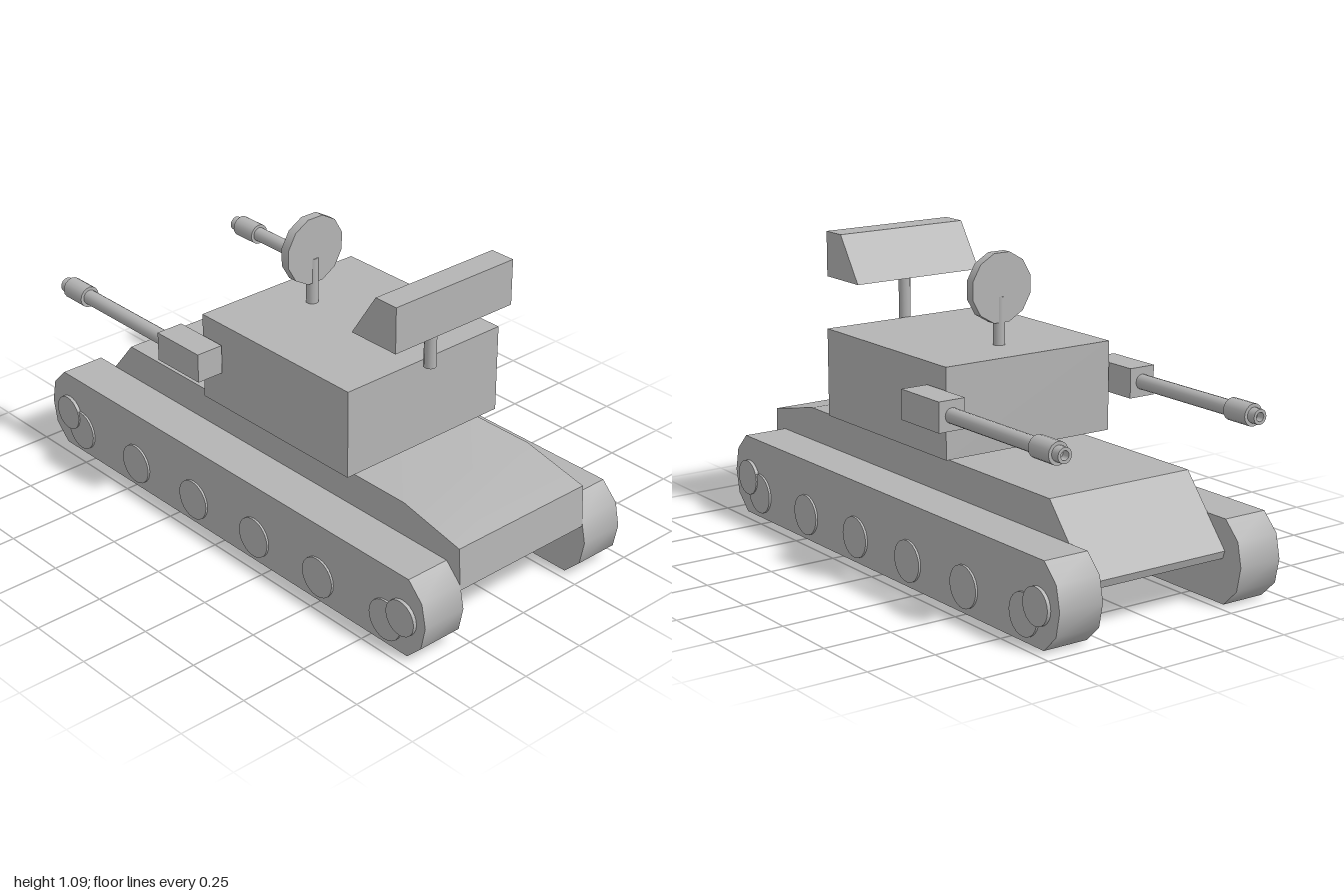
import * as THREE from 'three';
import { toCreasedNormals } from 'three/addons/utils/BufferGeometryUtils.js';

export function createModel() {
  const model = new THREE.Group();
  model.name = 'trackedVehicle';
  const grey = new THREE.MeshStandardMaterial({ color: 0xb4b4b4 });
  grey.name = 'plain grey';

  const add = (name, geometry, x = 0, y = 0, z = 0, parent = model) => {
    const mesh = new THREE.Mesh(geometry, grey);
    mesh.name = name;
    mesh.position.set(x, y, z);
    parent.add(mesh);
    return mesh;
  };

  // Side profile given as [z, y] points, extruded across x and centred on x = 0
  const sideProfile = (points, width) => {
    const shape = new THREE.Shape(points.map(([z, y]) => new THREE.Vector2(z, y)));
    const geometry = new THREE.ExtrudeGeometry(shape, { depth: width, bevelEnabled: false });
    geometry.rotateY(-Math.PI / 2).translate(width / 2, 0, 0);
    return toCreasedNormals(geometry, 0.7);
  };
  const cylinderX = (r, length, sides) =>
    new THREE.CylinderGeometry(r, r, length, sides).rotateZ(Math.PI / 2);
  const cylinderZ = (r, length, sides) =>
    new THREE.CylinderGeometry(r, r, length, sides).rotateX(Math.PI / 2);

  // Hull with sloped front deck, rear plate and tilted belly
  add('hull', sideProfile([
    [0.985, 0.21], [0.975, 0.363], [0.72, 0.418], [-0.725, 0.418], [-0.92, 0.185], [-0.91, 0.157],
  ].reverse(), 0.578));

  // Turret body
  add('turret', new THREE.BoxGeometry(0.69, 0.32, 0.74), 0, 0.6, 0.14);

  // Track outline: front end mirrored to the rear
  const end = [[0.92, 0], [0.982, 0.06], [1, 0.147], [0.982, 0.232], [0.92, 0.295]];
  const outline = [...end, ...end.map(([z, y]) => [-z, y]).reverse()];

  for (const side of [1, -1]) {
    const label = side > 0 ? 'left' : 'right';

    // Track and its wheels
    add(label + 'Track', sideProfile(outline, 0.17), side * 0.372);
    for (let i = 0; i < 6; i++) {
      add(label + 'RoadWheel', cylinderX(0.074, 0.03, 24), side * 0.45, 0.093, 0.82 - i * 0.328);
    }
    for (const z of [0.895, -0.89]) {
      add(label + 'EndWheel', cylinderX(0.065, 0.04, 24), side * 0.45, 0.14, z);
    }

    // Side gun pointing backward
    const gun = new THREE.Group();
    gun.name = label + 'Gun';
    gun.position.set(side * 0.401, 0.628, 0);
    model.add(gun);
    add('gunMount', new THREE.BoxGeometry(0.104, 0.106, 0.22), 0, 0, -0.235, gun);
    add('barrel', cylinderZ(0.027, 0.49, 16), 0, 0, -0.575, gun);
    add('muzzleSleeve', cylinderZ(0.039, 0.105, 16), 0, 0, -0.8625, gun);
    // Hollow muzzle tip
    const tip = new THREE.LatheGeometry(
      [[0.027, 0], [0.027, 0.035], [0.016, 0.035], [0.016, 0.005], [0, 0.005]]
        .map(([r, h]) => new THREE.Vector2(r, h)), 16);
    add('muzzleTip', toCreasedNormals(tip.rotateX(-Math.PI / 2), 0.7), 0, 0, -0.912, gun);
  }

  // Wedge-shaped antenna on its mast
  add('antennaMast', new THREE.CylinderGeometry(0.022, 0.022, 0.18, 10), 0, 0.83, 0.532);
  add('antennaPanel', sideProfile(
    [[0.435, 0.92], [0.64, 0.92], [0.64, 1.085], [0.545, 1.085]], 0.524));

  // Round dish on its mast
  add('dishMast', new THREE.CylinderGeometry(0.022, 0.022, 0.17, 10), 0, 0.845, -0.053);
  const dish = add('dish', cylinderZ(0.126, 0.035, 12), 0, 0.962, -0.053);
  dish.rotation.z = Math.PI / 12;

  return model;
}
